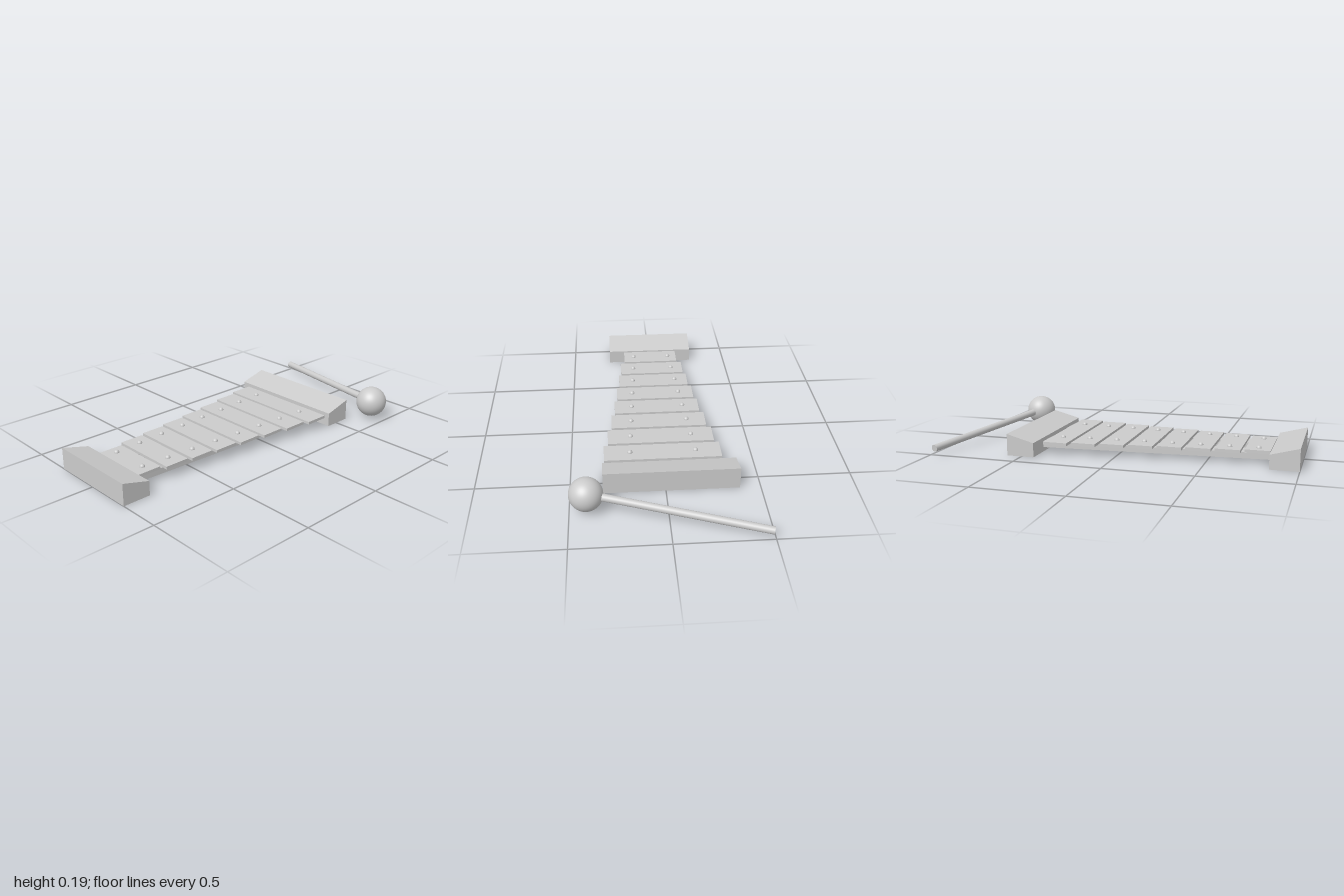
import * as THREE from 'three';

const material = new THREE.MeshStandardMaterial({ color: 0xcccccc });

function add(parent, name, geometry, x = 0, y = 0, z = 0) {
  const mesh = new THREE.Mesh(geometry, material);
  mesh.name = name;
  mesh.position.set(x, y, z);
  parent.add(mesh);
  return mesh;
}

// End block: side profile sloping from the tall outer edge to the low inner edge
function endBlock(parent, name, outerX, innerX, zBack, zFront) {
  const pts = [[outerX, 0], [innerX, 0], [innerX, 0.08], [outerX, 0.122]];
  const shape = new THREE.Shape(pts.map(p => new THREE.Vector2(...p)));
  const geometry = new THREE.ExtrudeGeometry(shape, { depth: zFront - zBack, bevelEnabled: false });
  add(parent, name, geometry, 0, 0, zBack);
}

// Straight rod between two points
function rod(parent, name, a, b, radius) {
  const dir = b.clone().sub(a);
  const mesh = add(parent, name, new THREE.CylinderGeometry(radius, radius, dir.length(), 24));
  mesh.position.copy(a).add(b).multiplyScalar(0.5);
  mesh.quaternion.setFromUnitVectors(new THREE.Vector3(0, 1, 0), dir.normalize());
}

export function createModel() {
  const model = new THREE.Group();
  model.name = 'xylophone';

  // Frame: two end blocks joined by two diverging rails
  const frame = new THREE.Group();
  frame.name = 'frame';
  model.add(frame);
  endBlock(frame, 'smallEndBlock', -1, -0.843, -0.27, 0.265);
  endBlock(frame, 'largeEndBlock', 0.585, 0.428, -0.39, 0.328);

  for (const [name, z0, z1] of [['backRail', -0.111, -0.196], ['frontRail', 0.103, 0.167]]) {
    const shape = new THREE.Shape([
      new THREE.Vector2(-0.85, -z0 - 0.052), new THREE.Vector2(0.435, -z1 - 0.052),
      new THREE.Vector2(0.435, -z1 + 0.052), new THREE.Vector2(-0.85, -z0 + 0.052),
    ]);
    const geometry = new THREE.ExtrudeGeometry(shape, { depth: 0.034, bevelEnabled: false });
    geometry.rotateX(-Math.PI / 2);
    add(frame, name, geometry, 0, 0.025, 0);
  }

  // Graduated sound bars, each held by two domed pins
  const halfLengths = [0.17, 0.197, 0.213, 0.231, 0.249, 0.271, 0.295, 0.319];
  halfLengths.forEach((half, i) => {
    const t = i / 7;
    const bar = new THREE.Group();
    bar.name = 'bar' + (i + 1);
    bar.position.x = -0.769 + 1.1 * t;
    model.add(bar);
    add(bar, 'plate', new THREE.BoxGeometry(0.138, 0.016, half * 2), 0, 0.066, 0);
    for (const z of [-0.115 - 0.066 * t, 0.109 + 0.069 * t]) {
      add(bar, 'pin', new THREE.SphereGeometry(0.0145, 20, 14), 0, 0.074, z);
    }
  });

  // Mallet lying beside the instrument
  const mallet = new THREE.Group();
  mallet.name = 'mallet';
  model.add(mallet);
  const head = new THREE.Vector3(0.717, 0.103, 0.412);
  add(mallet, 'malletHead', new THREE.SphereGeometry(0.088, 40, 28), head.x, head.y, head.z);
  rod(mallet, 'malletStick', head, new THREE.Vector3(0.979, 0.037, -0.495), 0.02);

  return model;
}
